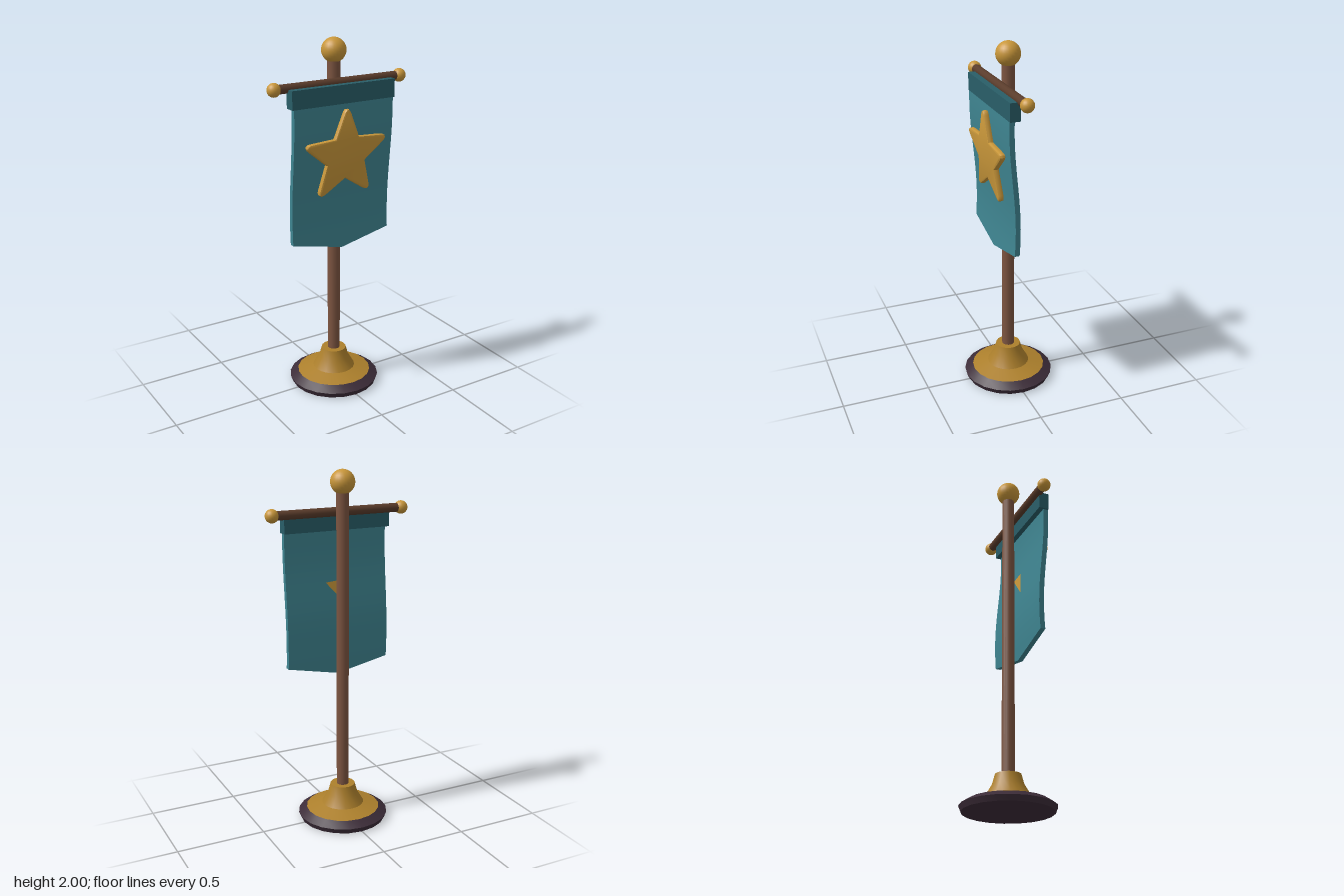
import * as THREE from 'three';
import { toCreasedNormals } from 'three/addons/utils/BufferGeometryUtils.js';

const mat = (name, color) => {
  const m = new THREE.MeshStandardMaterial({ color });
  m.name = name;
  return m;
};

export function createModel() {
  const gold = mat('gold', 0xc9973a);
  const darkGold = mat('dark gold', 0xad802c);
  const wood = mat('wood', 0x7d5541);
  const darkWood = mat('dark wood', 0x5a3c2b);
  const teal = mat('teal cloth', 0x3f8591);
  const darkTeal = mat('dark teal', 0x295e68);
  const plum = mat('dark plum', 0x3c2c38);

  const model = new THREE.Group();
  model.name = 'standingBanner';
  const add = (name, geometry, material, x = 0, y = 0, z = 0) => {
    const mesh = new THREE.Mesh(geometry, material);
    mesh.name = name;
    mesh.position.set(x, y, z);
    model.add(mesh);
    return mesh;
  };
  const lathe = (pts) => toCreasedNormals(
    new THREE.LatheGeometry(pts.map(([r, y]) => new THREE.Vector2(r, y)), 20), 0.4);

  // Round foot and flared socket
  add('footRim', lathe([[0, 0], [0.245, 0], [0.257, 0.03], [0.21, 0.06]]), plum);
  add('socket', lathe([[0.21, 0.06], [0.12, 0.085], [0.085, 0.145], [0.07, 0.2], [0, 0.2]]), darkGold);

  // Upright pole with ball finial
  add('pole', new THREE.CylinderGeometry(0.035, 0.035, 1.72, 14), wood, 0, 1.04, 0);
  add('poleFinial', new THREE.SphereGeometry(0.067, 24, 16), gold, 0, 1.933, 0);

  // Crossbar with ball ends
  const bar = add('crossbar', new THREE.CylinderGeometry(0.025, 0.025, 0.74, 12), darkWood, 0, 1.77, 0.05);
  bar.rotation.z = Math.PI / 2;
  for (const side of [-1, 1]) {
    add('crossbarBall', new THREE.SphereGeometry(0.037, 20, 14), gold, side * 0.386, 1.77, 0.05);
  }

  // Depth of the hanging cloth at a given height
  const drape = (y) => 0.08 + 0.018 * Math.cos((1.62 - y) * 5.6);

  // Header sleeve
  add('clothHeader', new THREE.BoxGeometry(0.63, 0.1, 0.058), darkTeal, 0, 1.718, 0.083);

  // Cloth: a thin slab, pointed at the bottom and bent along the drape
  const cloth = new THREE.BoxGeometry(0.61, 1, 0.028, 8, 20, 1);
  const p = cloth.attributes.position;
  for (let i = 0; i < p.count; i++) {
    const x = p.getX(i);
    const bottom = 0.855 + 0.065 * Math.abs(x) / 0.305;
    const y = bottom + (1.7 - bottom) * (p.getY(i) + 0.5);
    p.setXYZ(i, x, y, p.getZ(i) + drape(y));
  }
  cloth.computeVertexNormals();
  add('cloth', cloth, teal);

  // Star emblem with rounded tips, following the drape
  const centreY = 1.388;
  const point = (i) => {
    const a = Math.PI / 2 + (i * Math.PI) / 5;
    const r = i % 2 ? 0.113 : 0.262;
    return new THREE.Vector2(Math.cos(a) * r, Math.sin(a) * r);
  };
  const starShape = new THREE.Shape();
  for (let i = 0; i < 10; i += 2) {
    const tip = point(i);
    const before = tip.clone().lerp(point(i - 1), 0.2);
    const after = tip.clone().lerp(point(i + 1), 0.2);
    if (i === 0) starShape.moveTo(before.x, before.y);
    else starShape.lineTo(before.x, before.y);
    starShape.quadraticCurveTo(tip.x, tip.y, after.x, after.y);
    const inner = point(i + 1);
    starShape.lineTo(inner.x, inner.y);
  }
  starShape.closePath();
  const star = new THREE.ExtrudeGeometry(starShape, {
    depth: 0.014, bevelEnabled: true, bevelThickness: 0.01, bevelSize: 0.01, bevelSegments: 2, curveSegments: 5,
  });
  const s = star.attributes.position;
  for (let i = 0; i < s.count; i++) {
    const y = s.getY(i) + centreY;
    s.setXYZ(i, s.getX(i), y, s.getZ(i) + 0.025 + drape(y));
  }
  add('star', toCreasedNormals(star, 0.5), gold);

  // Small gold patch on the back of the cloth
  const patch = new THREE.BufferGeometry().setFromPoints(
    [[0.07, 1.383], [-0.053, 1.25], [-0.02, 1.39]].map(
      ([x, y]) => new THREE.Vector3(x, y, drape(y) - 0.018)));
  patch.computeVertexNormals();
  const backGold = gold.clone();
  backGold.side = THREE.DoubleSide;
  add('starBackPatch', patch, backGold);

  return model;
}
